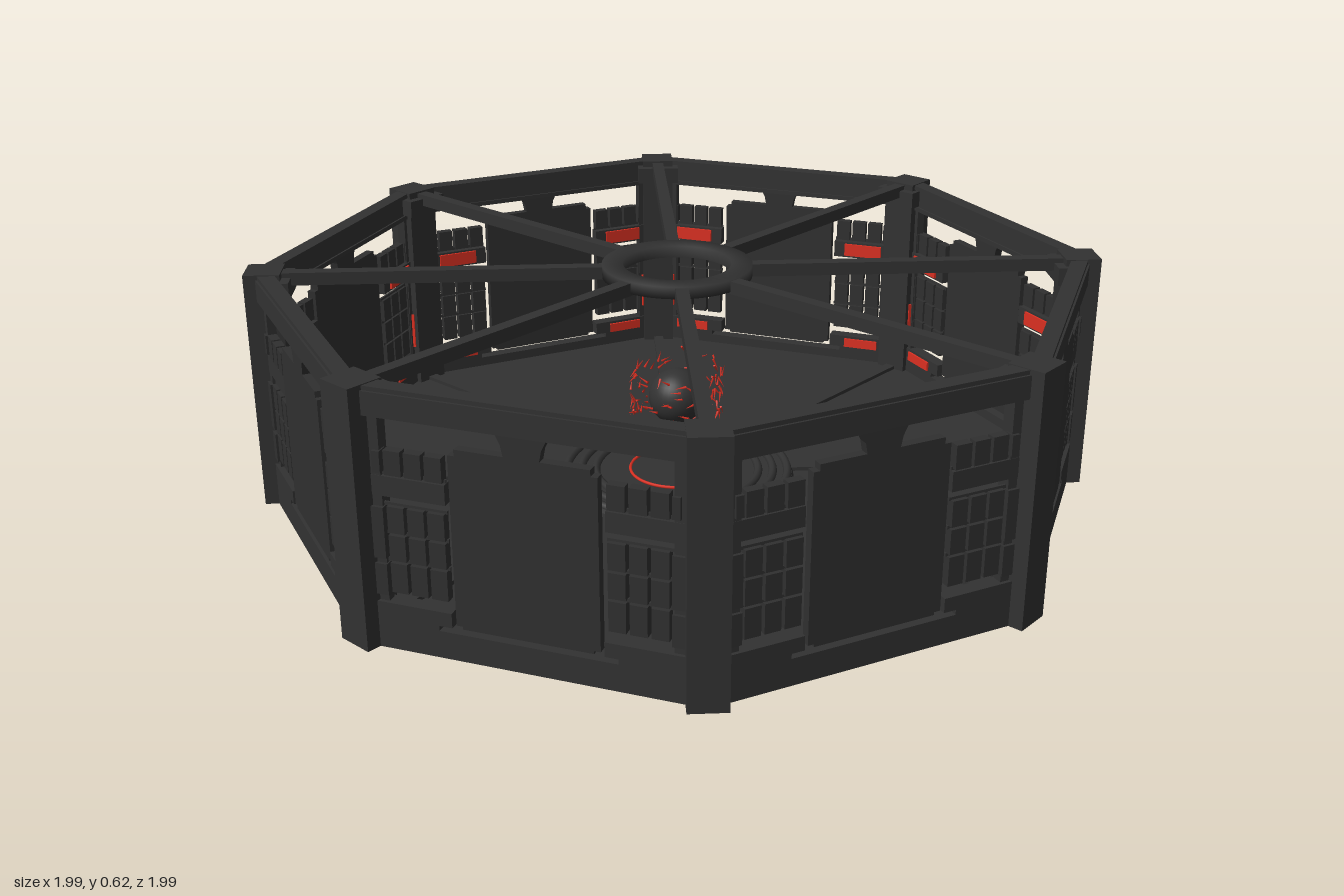
import * as THREE from 'three';

const flat = (name, color) => {
  const m = new THREE.MeshStandardMaterial({ color });
  m.name = name;
  return m;
};

export function createModel() {
  const root = new THREE.Group();
  root.name = 'octagonalChamber';
  const metal = flat('dark metal', 0x323232);
  const panel = flat('panel grey', 0x303030);
  const red = flat('red light', 0xdc3022);

  const add = (parent, name, geo, mat, x = 0, y = 0, z = 0) => {
    const m = new THREE.Mesh(geo, mat);
    m.name = name;
    m.position.set(x, y, z);
    parent.add(m);
    return m;
  };
  // box given by its x, y and z ranges
  const block = (parent, name, mat, x0, x1, y0, y1, z0, z1) =>
    add(parent, name, new THREE.BoxGeometry(x1 - x0, y1 - y0, z1 - z0), mat,
      (x0 + x1) / 2, (y0 + y1) / 2, (z0 + z1) / 2);
  // flat outline mirrored about x = 0, extruded along z
  const plate = (half, z0, z1) => {
    const pts = [...half, ...half.slice().reverse().map(([x, y]) => [-x, y])];
    const shape = new THREE.Shape(pts.map(([x, y]) => new THREE.Vector2(x, y)));
    const g = new THREE.ExtrudeGeometry(shape, { depth: z1 - z0, bevelEnabled: false });
    return g.translate(0, 0, z0);
  };

  // floor slab
  const R = 0.955 / Math.cos(Math.PI / 8);
  add(root, 'floor', new THREE.CylinderGeometry(R, R, 0.04, 8).rotateY(Math.PI / 8), metal, 0, 0.02, 0);

  // low dais with raised rings and a red light ring
  add(root, 'dais', new THREE.CylinderGeometry(0.3, 0.305, 0.012, 48), metal, 0, 0.044, 0);
  for (const r of [0.212, 0.25, 0.288])
    add(root, 'daisRing', new THREE.TorusGeometry(r, 0.011, 8, 64).rotateX(Math.PI / 2), metal, 0, 0.051, 0);
  add(root, 'daisLight', new THREE.TorusGeometry(0.122, 0.004, 6, 64).rotateX(Math.PI / 2), red, 0, 0.053, 0);

  // one wall bay, facing +z
  const skirt = plate([[0.39, 0], [0.39, 0.113], [0.174, 0.113], [0.174, 0.078], [0.205, 0.078], [0.205, 0.066]],
    0.93, 0.965);
  const door = plate([[0.15, 0.078], [0.15, 0.085], [0.165, 0.085], [0.165, 0.485], [0.15, 0.485],
    [0.15, 0.5], [0.04, 0.5], [0.045, 0.525], [0.06, 0.555]], 0.94, 0.962);
  const makeWall = () => {
    const w = new THREE.Group();
    w.name = 'wall';
    add(w, 'skirt', skirt, metal);
    add(w, 'door', door, panel);
    block(w, 'topRail', metal, -0.395, 0.395, 0.55, 0.605, 0.935, 0.97);
    block(w, 'topRailCap', metal, -0.395, 0.395, 0.603, 0.615, 0.925, 0.965);
    block(w, 'topRailLip', metal, -0.385, 0.385, 0.54, 0.552, 0.93, 0.95);
    for (const s of [-1, 1]) {
      const side = (name, mat, x0, x1, ...r) =>
        block(w, name, mat, Math.min(s * x0, s * x1), Math.max(s * x0, s * x1), ...r);
      side('jamb', metal, 0.325, 0.39, 0.09, 0.555, 0.935, 0.957);
      side('crossRail', metal, 0.178, 0.36, 0.365, 0.412, 0.93, 0.958);
      // thin rails carrying the tiles
      for (const y of [0.212, 0.278, 0.345, 0.417])
        side('thinRail', metal, 0.178, 0.33, y - 0.004, y + 0.004, 0.945, 0.95);
      // tiles
      for (let c = 0; c < 3; c++) {
        const x = 0.182 + c * 0.047;
        for (const [y0, y1] of [[0.416, 0.473], [0.281, 0.343], [0.215, 0.275], [0.138, 0.209]])
          side('tile', panel, x, x + 0.039, y0, y1, 0.938, 0.96);
      }
      side('edgeTile', panel, 0.322, 0.352, 0.218, 0.34, 0.938, 0.964);
      side('edgeTile', panel, 0.322, 0.352, 0.13, 0.205, 0.938, 0.964);
      side('edgeTile', panel, 0.322, 0.34, 0.42, 0.47, 0.938, 0.964);
      // inner light strips
      side('railLight', red, 0.21, 0.32, 0.371, 0.407, 0.924, 0.9305);
      side('floorLight', red, 0.22, 0.32, 0.08, 0.106, 0.924, 0.9305);
      side('jambLight', red, 0.332, 0.35, 0.15, 0.25, 0.927, 0.9355);
    }
    return w;
  };

  for (let i = 0; i < 8; i++) {
    const wall = makeWall();
    wall.rotation.y = i * Math.PI / 4;
    root.add(wall);

    // corner post with roof beam and floor rib
    const corner = new THREE.Group();
    corner.name = 'corner';
    corner.rotation.y = (i + 0.5) * Math.PI / 4;
    root.add(corner);
    block(corner, 'post', metal, -0.045, 0.045, 0, 0.617, 0.972, 1.061);
    block(corner, 'bracket', metal, -0.06, 0.06, 0.555, 0.6, 0.95, 0.99);
    block(corner, 'roofBeam', metal, -0.016, 0.016, 0.58, 0.612, 0.18, 0.98);
    block(corner, 'floorRib', metal, -0.014, 0.014, 0.038, 0.05, 0.29, 1.0);
  }

  // roof ring joining the beams
  const ring = [[0.135, 0.585], [0.188, 0.585], [0.188, 0.615], [0.135, 0.615], [0.135, 0.585]];
  const ringGeo = new THREE.LatheGeometry(ring.map(([x, y]) => new THREE.Vector2(x, y)), 48);
  add(root, 'roofRing', ringGeo, metal);

  // floating core with a crown of red needles
  const core = new THREE.Group();
  core.name = 'core';
  core.position.y = 0.255;
  root.add(core);
  add(core, 'coreSphere', new THREE.SphereGeometry(0.073, 32, 20), metal);
  let seed = 7;
  const rnd = () => (seed = (seed * 16807) % 2147483647) / 2147483647;
  const needle = new THREE.ConeGeometry(0.0035, 0.03, 4);
  for (let i = 0; i < 110; i++) {
    const a = i / 110 * Math.PI * 2;
    const r = 0.095 + rnd() * 0.028;
    const n = add(core, 'needle', needle, red, Math.sin(a) * r, (rnd() - 0.4) * 0.14, Math.cos(a) * r);
    n.rotation.set(rnd() * 3, a, rnd() * 3);
  }
  return root;
}
